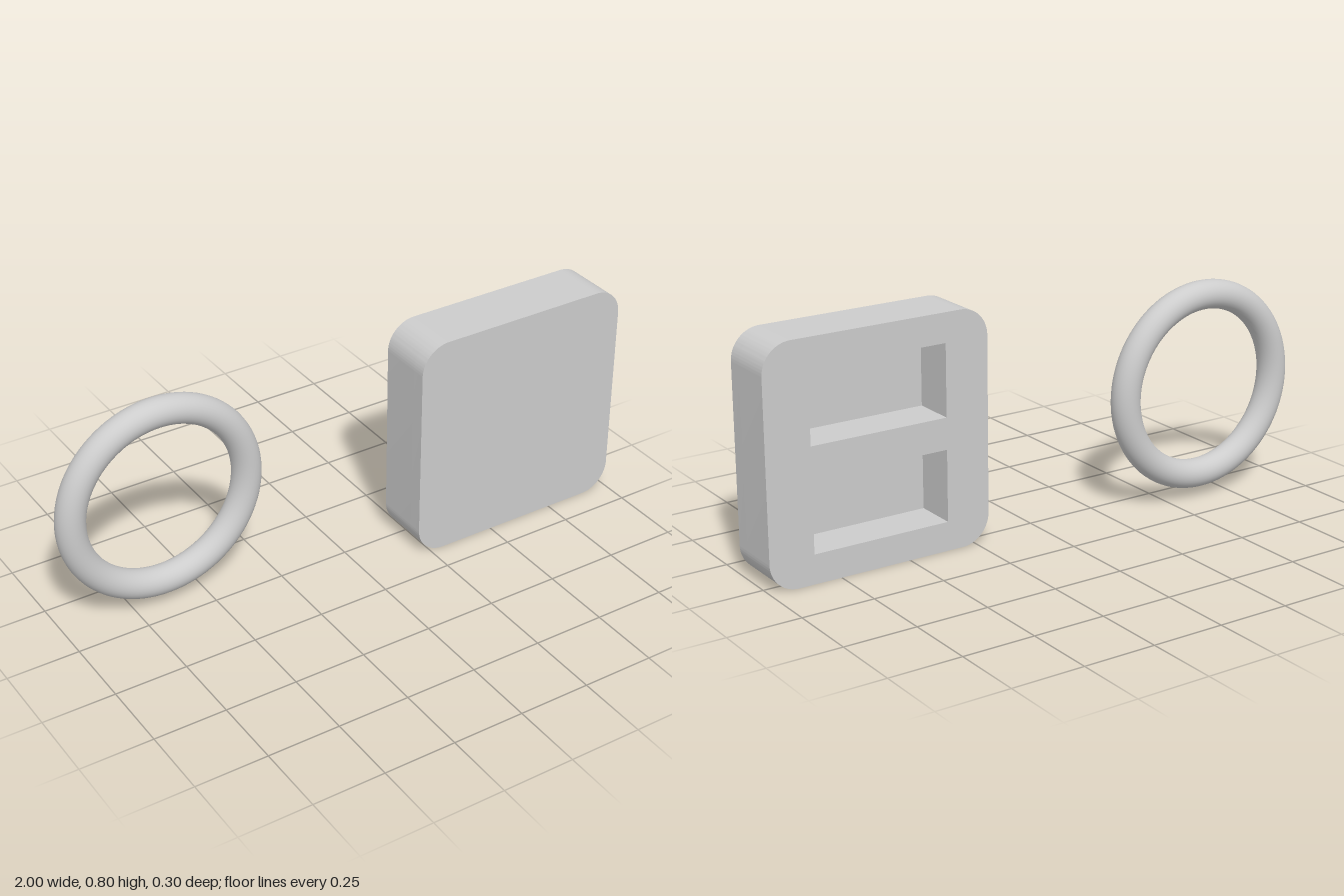
import * as THREE from 'three';
import { toCreasedNormals } from 'three/addons/utils/BufferGeometryUtils.js';

const SIZE = 0.8, CORNER = 0.1;              // block outline
const BACK = -0.05, FLOOR = 0.1, FRONT = 0.15; // block depths along z

// Square outline with rounded corners, centred on the origin
function roundedSquare(size, r) {
  const h = size / 2, c = h - r, s = new THREE.Shape();
  s.moveTo(-c, -h);
  s.lineTo(c, -h);
  s.absarc(c, -c, r, -Math.PI / 2, 0);
  s.lineTo(h, c);
  s.absarc(c, c, r, 0, Math.PI / 2);
  s.lineTo(-c, h);
  s.absarc(-c, c, r, Math.PI / 2, Math.PI);
  s.lineTo(-h, -c);
  s.absarc(-c, -c, r, Math.PI, Math.PI * 1.5);
  return s;
}

// Rectangular hole centred on (0, y)
function pocket(y, w, h) {
  const p = new THREE.Path();
  p.moveTo(-w / 2, y - h / 2);
  p.lineTo(-w / 2, y + h / 2);
  p.lineTo(w / 2, y + h / 2);
  p.lineTo(w / 2, y - h / 2);
  p.closePath();
  return p;
}

function slab(shape, z0, z1) {
  const g = new THREE.ExtrudeGeometry(shape, { depth: z1 - z0, bevelEnabled: false, curveSegments: 16 });
  g.translate(0, 0, z0);
  return toCreasedNormals(g, 0.5);
}

export function createModel() {
  const model = new THREE.Group();
  const grey = new THREE.MeshStandardMaterial({ color: 0xcccccc });
  grey.name = 'light grey';

  const add = (parent, name, geometry) => {
    const mesh = new THREE.Mesh(geometry, grey);
    mesh.name = name;
    parent.add(mesh);
    return mesh;
  };

  // Rounded block: solid front plate, back frame with two pockets
  const block = new THREE.Group();
  block.name = 'block';
  block.position.set(0.6, 0.4, 0);
  model.add(block);

  add(block, 'frontPlate', slab(roundedSquare(SIZE, CORNER), FLOOR, FRONT));
  const frame = roundedSquare(SIZE, CORNER);
  for (const y of [-0.177, 0.177]) frame.holes.push(pocket(y, 0.488, 0.246));
  add(block, 'pocketFrame', slab(frame, BACK, FLOOR));

  // Separate ring, upright beside the block
  const ring = add(model, 'ring', new THREE.TorusGeometry(0.317, 0.05, 32, 96));
  ring.position.set(-0.633, 0.4, -0.1);

  return model;
}
